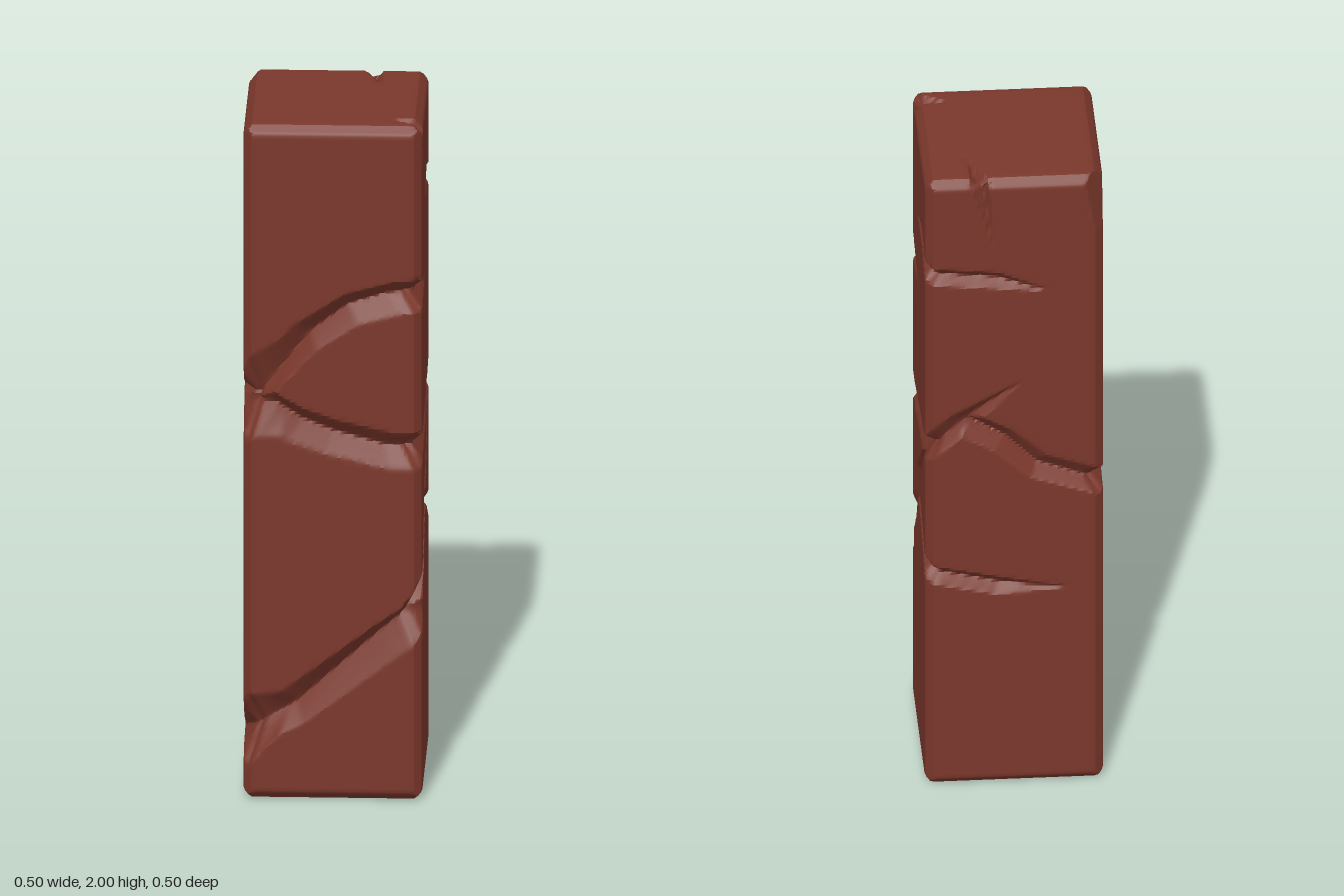
import * as THREE from 'three';
import { toCreasedNormals } from 'three/addons/utils/BufferGeometryUtils.js';

const H = 0.25; // half width of the pillar
const BEVEL = 0.025;
const { clamp, lerp } = THREE.MathUtils;

// A V-shaped crack along a path; a tapered end fades out to a point
function crack(depth, above, below, taperStart, taperEnd, path) {
  const size = path.map((_, i) =>
    (taperStart && i === 0) || (taperEnd && i === path.length - 1) ? 0.12 : 1);
  return { depth, above, below, size, path };
}

// Side paths are [u, y]; u runs round the pillar:
// front -0.25..0.25, +x side ..0.75, back ..1.25, -x side ..1.75
const sideCracks = [
  // upper arc on the front, wrapping both corners
  crack(0.042, 0.042, 0.055, true, true, [[0.46, 1.49], [0.25, 1.505], [0.18, 1.5], [0.05, 1.465],
    [-0.08, 1.38], [-0.18, 1.27], [-0.25, 1.2], [-0.36, 1.2]]),
  // lower arc on the front
  crack(0.04, 0.042, 0.065, false, false, [[-0.25, 1.18], [-0.18, 1.17], [-0.1, 1.125], [0, 1.09],
    [0.17, 1.05], [0.25, 1.05]]),
  // its continuation over the +x side, rising on the back
  crack(0.032, 0.032, 0.045, false, true, [[0.25, 1.05], [0.38, 1.055], [0.54, 1.09], [0.68, 1.105],
    [0.75, 1.125], [0.84, 1.2], [1.01, 1.325]]),
  // back branch, descending to the -x side
  crack(0.036, 0.04, 0.045, false, true, [[0.86, 1.2], [0.97, 1.14], [1.07, 1.05], [1.25, 0.99], [1.46, 1.01]]),
  // long diagonal on the +x side
  crack(0.042, 0.058, 0.026, true, false, [[0.72, 1.11], [0.47, 0.83], [0.37, 0.68], [0.25, 0.56]]),
  // its continuation across the lower front
  crack(0.045, 0.045, 0.068, false, true, [[0.25, 0.56], [0.15, 0.49], [-0.12, 0.285], [-0.25, 0.22],
    [-0.41, 0.17]]),
  // short branch off the diagonal, running to the back
  crack(0.028, 0.028, 0.03, false, true, [[0.47, 0.82], [0.6, 0.79], [0.75, 0.705], [0.95, 0.66], [1.15, 0.645]]),
  // high crack across the back corner
  crack(0.026, 0.026, 0.028, true, true, [[0.46, 1.72], [0.62, 1.745], [0.75, 1.69], [0.95, 1.67], [1.1, 1.63]]),
  // small vertical splits below the top edge
  crack(0.025, 0.028, 0.028, false, true, [[0.305, 2.01], [0.3, 1.87]]),
  crack(0.032, 0.028, 0.028, false, true, [[0.9, 2.01], [0.94, 1.78]]),
];

// Top paths are [x, z]
const topCracks = [
  crack(0.03, 0.03, 0.03, false, true, [[0.26, 0.195], [0.15, 0.17]]),
  crack(0.035, 0.03, 0.03, false, true, [[0.095, -0.26], [0.125, -0.11]]),
];

// Depth of the grooves at a surface point, with the V widened by wear
function grooveDepth(cracks, a, b, wear) {
  let deepest = 0;
  for (const { depth, above, below, size, path } of cracks) {
    for (let i = 0; i < path.length - 1; i++) {
      const [ax, ay] = path[i];
      const dx = path[i + 1][0] - ax, dy = path[i + 1][1] - ay;
      const t = clamp(((a - ax) * dx + (b - ay) * dy) / (dx * dx + dy * dy), 0, 1);
      const ex = a - ax - dx * t, ey = b - ay - dy * t;
      const isAbove = (dx * ey - dy * ex) * Math.sign(dx) > 0;
      const scale = lerp(size[i], size[i + 1], t);
      const width = (isAbove ? above : below) * scale * wear;
      deepest = Math.max(deepest, depth * scale * (1 - Math.hypot(ex, ey) / width));
    }
  }
  return deepest;
}

// Side grooves, worn wider at the front corner on the -x side
function sideDepth(u, y) {
  const wear = 1 + 0.8 * Math.max(0, 1 - Math.abs(u + H) / 0.1);
  return grooveDepth(sideCracks, u, y, wear);
}

// Position round the pillar for a point on one of its sides
function around(x, z) {
  if (z > H - 1e-5) return x;
  if (x > H - 1e-5) return 0.5 - z;
  if (z < -H + 1e-5) return 1 - x;
  return 1.5 + z;
}

// Cut the edge between two axes at 45 degrees
function bevel(v, i, j) {
  const half = [H, 1, H];
  const excess = Math.abs(v[i]) + Math.abs(v[j]) - half[i] - half[j] + BEVEL;
  if (excess <= 0) return;
  v[i] -= Math.sign(v[i]) * excess / 2;
  v[j] -= Math.sign(v[j]) * excess / 2;
}

function carvedPillar() {
  const geo = new THREE.BoxGeometry(2 * H, 2, 2 * H, 48, 210, 48);
  const pos = geo.attributes.position;
  for (let n = 0; n < pos.count; n++) {
    const v = [pos.getX(n), pos.getY(n), pos.getZ(n)];
    const [x, y, z] = v;
    bevel(v, 0, 2);
    bevel(v, 0, 1);
    bevel(v, 1, 2);

    // chipped top corner at the back
    const chip = 1 - (v[0] + H) / 0.055 - (v[2] + H) / 0.07 - (1 - v[1]) / 0.3;
    if (chip > 0) {
      const move = chip / (1 / 0.055 + 1 / 0.07);
      v[0] += move;
      v[2] += move;
    }

    // side grooves shrink the section, top grooves sink the cap
    if (Math.max(Math.abs(x), Math.abs(z)) > H - 1e-5) {
      const u = around(x, z);
      const d = Math.max(sideDepth(u, y + 1), sideDepth(u - 2, y + 1));
      v[0] *= 1 - d / H;
      v[2] *= 1 - d / H;
    }
    if (y > 1 - 1e-5) v[1] -= grooveDepth(topCracks, x, z, 1);
    pos.setXYZ(n, v[0], v[1] + 1, v[2]);
  }
  geo.deleteAttribute('uv');
  return toCreasedNormals(geo, 0.5);
}

export function createModel() {
  const group = new THREE.Group();
  group.name = 'crackedPillar';
  const stone = new THREE.MeshStandardMaterial({ color: 0x7a372b });
  const pillar = new THREE.Mesh(carvedPillar(), stone);
  pillar.name = 'carvedStoneBlock';
  group.add(pillar);
  return group;
}
